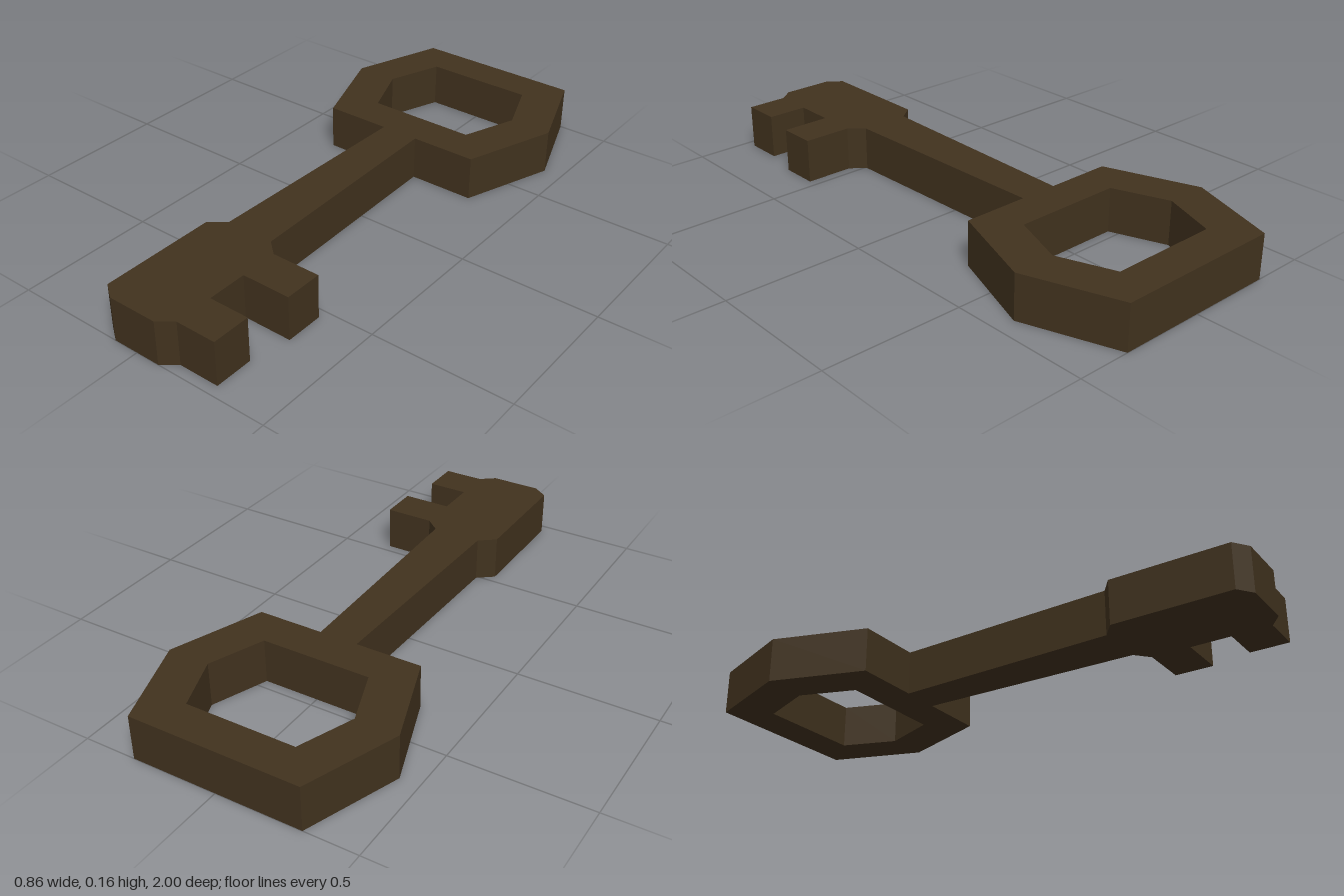
import * as THREE from 'three';

const THICKNESS = 0.162;

// Plan points are [x, z]; the shape's y axis is -z so the slab can be laid flat.
const toPlan = (points) => points.map(([x, z]) => new THREE.Vector2(x, -z));

// Flat slab standing on y = 0, cut from a plan outline with optional hole.
function slab(name, outline, material, hole) {
  const shape = new THREE.Shape(toPlan(outline));
  if (hole) shape.holes.push(new THREE.Path(toPlan(hole)));
  const geometry = new THREE.ExtrudeGeometry(shape, { depth: THICKNESS, bevelEnabled: false });
  geometry.rotateX(-Math.PI / 2);
  const mesh = new THREE.Mesh(geometry, material);
  mesh.name = name;
  return mesh;
}

// Six-sided outline, counter-clockwise from above so that hole walls face inwards.
function hexagon(flat, point, halfLength, z) {
  return [
    [-point, z], [-flat, z + halfLength], [flat, z + halfLength],
    [point, z], [flat, z - halfLength], [-flat, z - halfLength],
  ];
}

export function createModel() {
  const group = new THREE.Group();
  group.name = 'key';
  const darkBronze = new THREE.MeshStandardMaterial({ color: 0x41321e });
  darkBronze.name = 'darkBronze';

  // Hexagonal handle with a matching opening
  group.add(slab('bow', hexagon(0.31, 0.43, 0.336, -0.664), darkBronze,
    hexagon(0.2, 0.275, 0.199, -0.664)));

  // Shaft widening towards the bit
  group.add(slab('shaft', [[-0.07, -0.328], [-0.09, 0.49], [0.09, 0.49], [0.07, -0.328]], darkBronze));

  // Chamfered end block with two teeth on its left side
  group.add(slab('bit', [
    [-0.09, 0.49], [-0.148, 0.535], [-0.148, 0.96], [-0.093, 1], [0.09, 1], [0.142, 0.96],
    [0.29, 0.96], [0.29, 0.82], [0.142, 0.82], [0.142, 0.675],
    [0.32, 0.675], [0.32, 0.535], [0.142, 0.535], [0.09, 0.49],
  ], darkBronze));

  return group;
}
